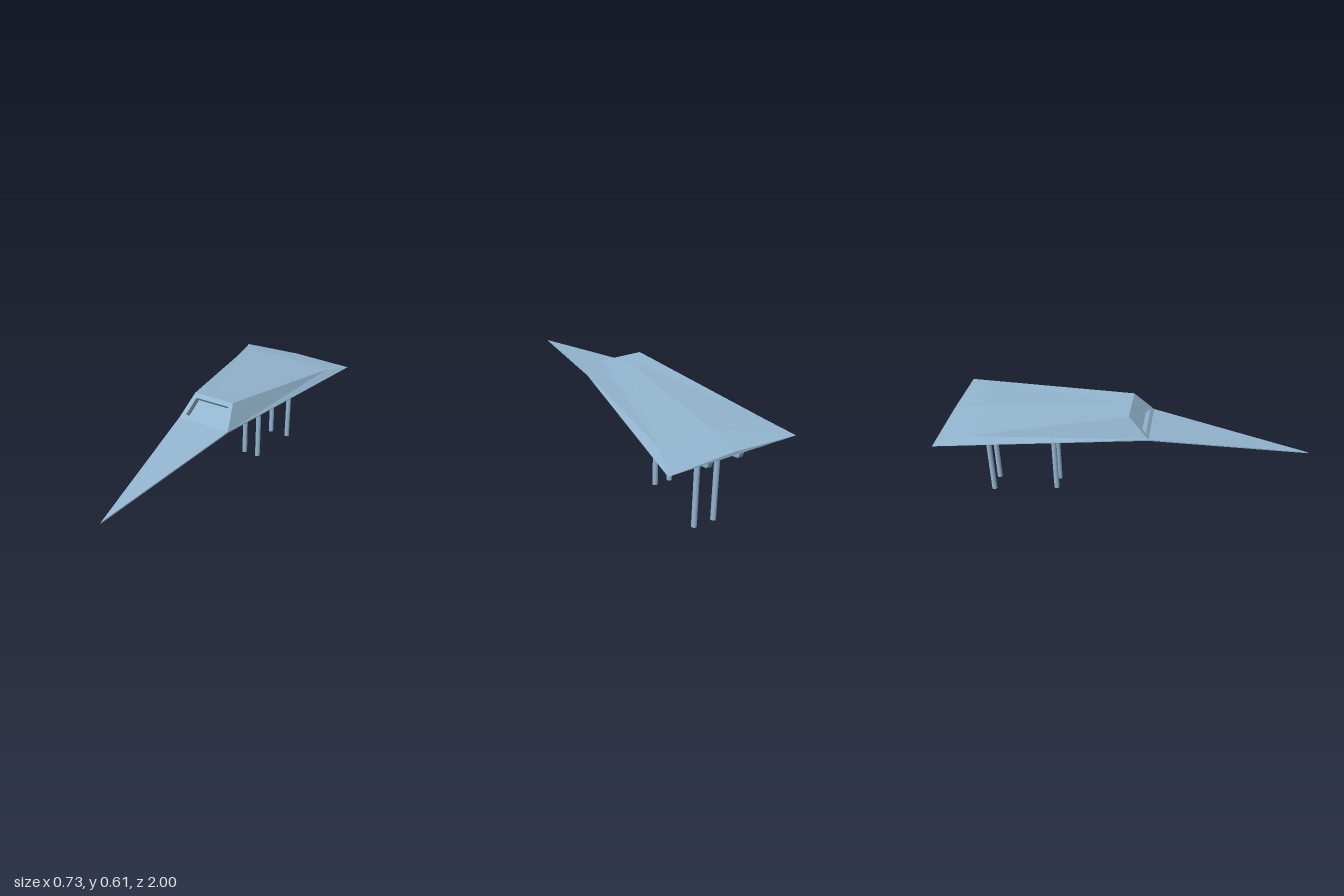
import * as THREE from 'three';

const paint = new THREE.MeshStandardMaterial({ color: 0x93b5cf, flatShading: true });
const smooth = new THREE.MeshStandardMaterial({ color: 0x93b5cf });

function add(parent, name, geometry, x = 0, y = 0, z = 0, material = paint) {
  const mesh = new THREE.Mesh(geometry, material);
  mesh.name = name;
  mesh.position.set(x, y, z);
  parent.add(mesh);
  return mesh;
}

// Flat faces of the +x half, mirrored to the -x half
function mirroredFaces(polygons) {
  const pos = [];
  const fan = (p) => {
    for (let i = 1; i < p.length - 1; i++) pos.push(...p[0], ...p[i], ...p[i + 1]);
  };
  for (const p of polygons) {
    fan(p);
    const m = p.map(([x, y, z]) => [-x, y, z]);
    // keep the same diagonal: reverse everything after the first corner
    fan([m[0], ...m.slice(1).reverse()]);
  }
  const g = new THREE.BufferGeometry();
  g.setAttribute('position', new THREE.Float32BufferAttribute(pos, 3));
  g.computeVertexNormals();
  return g;
}

// Box whose underside is narrowed
function taperedBox(w, h, d, bottomW, bottomD) {
  const g = new THREE.BoxGeometry(w, h, d);
  const p = g.attributes.position;
  for (let i = 0; i < p.count; i++) {
    if (p.getY(i) < 0) {
      p.setX(i, p.getX(i) * bottomW / w);
      p.setZ(i, p.getZ(i) * bottomD / d);
    }
  }
  g.computeVertexNormals();
  return g;
}

export function createModel() {
  const model = new THREE.Group();
  model.name = 'spacecraft';

  // Hull corners: nose, front base, roof front, roof rear, tail
  const N = [0, 0.381, 1], Nb = [0, 0.375, 1];
  const F = [0.157, 0.496, 0.13], F0 = [0, 0.496, 0.13];
  const Fb = [0.157, 0.489, 0.13], F0b = [0, 0.489, 0.13];
  const R = [0.122, 0.612, 0.02], R0 = [0, 0.612, 0.02];
  const M = [0.295, 0.531, -0.82], M0 = [0, 0.545, -0.82];
  const B = [0.363, 0.495, -1], B0 = [0, 0.51, -0.995], Bb = [0, 0.493, -0.997];

  add(model, 'nose', mirroredFaces([
    [N, F, F0], [Nb, F0b, Fb], [N, Nb, Fb, F],
  ]));
  add(model, 'hull', mirroredFaces([
    [F, B, M, R], [F, Fb, B],          // sides
    [R0, R, M, M0], [M0, M, B, B0],    // roof
    [B, Bb, B0],                       // tail edge
    [F0b, Bb, B, Fb],                  // underside
  ]));

  // Cockpit front: frame, recess walls and sunken pane
  const opening = [[0, 0.514, 0.112], [0.124, 0.514, 0.112], [0.102, 0.592, 0.039], [0, 0.592, 0.039]];
  const pane = opening.map(([x, y, z]) => [x, y - 0.0245, z - 0.026]);
  const outer = [F0, F, R, R0];
  const frame = [], recess = [];
  for (let i = 0; i < 3; i++) {
    frame.push([outer[i], outer[i + 1], opening[i + 1], opening[i]]);
    recess.push([opening[i], opening[i + 1], pane[i + 1], pane[i]]);
  }
  add(model, 'windowFrame', mirroredFaces(frame));
  add(model, 'windowRecess', mirroredFaces(recess));
  add(model, 'windowPane', mirroredFaces([pane]));

  // Side profile of the landing gear housing, as (-z, y)
  const housing = new THREE.Shape([
    [0.34, 0.497], [0.325, 0.475], [0.34, 0.445], [0.61, 0.445], [0.68, 0.432], [0.705, 0.411],
    [0.79, 0.39], [0.93, 0.42], [0.947, 0.465], [0.91, 0.497],
  ].map(([a, b]) => new THREE.Vector2(a, b)));

  for (const s of [1, -1]) {
    const side = s > 0 ? 'left' : 'right';

    const keel = new THREE.ExtrudeGeometry(housing, { depth: 0.026, bevelEnabled: false });
    keel.translate(0, 0, -0.013).rotateY(Math.PI / 2);
    add(model, side + 'GearHousing', keel, s * 0.09);

    // Legs hang from axles that pass through the housing
    const legs = [
      ['Front', s * 0.046 - 0.001, 0.035, 0.468, -0.42],
      ['Rear', s * 0.0595 - 0.0015, 0, 0.437, -0.8],
    ];
    for (const [place, x, foot, top, z] of legs) {
      add(model, side + place + 'Leg', new THREE.CylinderGeometry(0.015, 0.015, top - foot, 16),
        x, (top + foot) / 2, z, smooth);
      const end = s * 0.1185, length = Math.abs(end - x);
      const axle = new THREE.CylinderGeometry(0.018, 0.018, length, 16).rotateZ(Math.PI / 2);
      add(model, side + place + 'Axle', axle, (end + x) / 2, top, z, smooth);
    }

    // Underwing pod: block, bevelled lip and narrow outlet
    const pod = new THREE.Group();
    pod.name = side + 'Pod';
    pod.position.set(s * 0.213, 0, -0.85);
    add(pod, 'podBlock', new THREE.BoxGeometry(0.067, 0.032, 0.15), 0, 0.481, 0);
    add(pod, 'podLip', taperedBox(0.067, 0.01, 0.15, 0.048, 0.125), 0, 0.46, 0);
    add(pod, 'podOutlet', taperedBox(0.03, 0.017, 0.1, 0.02, 0.085), 0, 0.4465, 0);
    model.add(pod);
  }
  return model;
}
